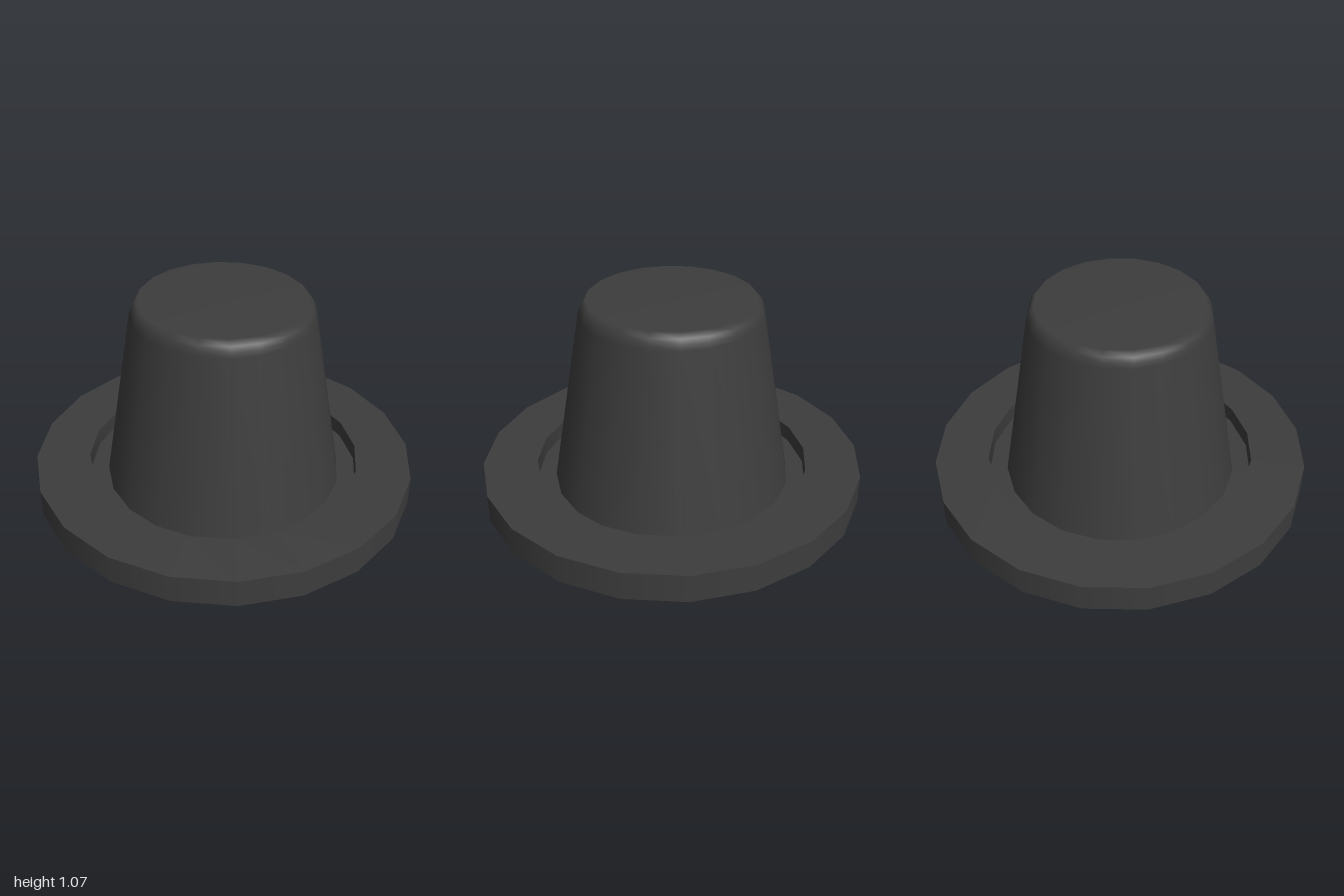
import * as THREE from 'three';

const SIDES = 20;
const DEPTH = 0.987; // the rings are slightly shallower than wide

export function createModel() {
  const model = new THREE.Group();
  model.name = 'plug';
  const rubber = new THREE.MeshStandardMaterial({ color: 0x3d3d3d });
  const thinRubber = new THREE.MeshStandardMaterial({ color: 0x3d3d3d, side: THREE.DoubleSide });

  // Revolves one smooth band; separate bands meet at sharp edges
  function band(parent, name, profile, material = rubber) {
    const points = profile.map(([r, y]) => new THREE.Vector2(r, y));
    const geometry = new THREE.LatheGeometry(points, SIDES).scale(1, 1, DEPTH);
    const mesh = new THREE.Mesh(geometry, material);
    mesh.name = name;
    parent.add(mesh);
  }

  // Flange: hollow underneath, with a thin outer wall
  const flange = new THREE.Group();
  flange.name = 'flange';
  band(flange, 'flangeOuterWall', [[1, 0], [1, 0.151]], thinRubber);
  band(flange, 'flangeTop', [[1, 0.151], [0.717, 0.151]], thinRubber);

  // Inner collar around the groove, and the thin web that joins it to the body
  band(flange, 'collarInnerWall', [[0.717, 0.151], [0.717, 0.065]], thinRubber);
  band(flange, 'collarUnderside', [[0.717, 0.065], [0.81, 0.065]], thinRubber);
  band(flange, 'collarOuterWall', [[0.81, 0.065], [0.81, 0.151]], thinRubber);
  band(flange, 'grooveFloor', [[0.717, 0.065], [0.622, 0.065]], thinRubber);

  // Tapered body with a rounded top edge and a closed base
  const body = new THREE.Group();
  body.name = 'body';
  band(body, 'taperedBody', [
    [0.622, 0.065], [0.463, 0.99], [0.456, 1.015], [0.445, 1.04], [0.422, 1.066], [0, 1.066],
  ]);
  band(body, 'bodyBase', [[0, 0.065], [0.622, 0.065]]);

  model.add(flange, body);
  return model;
}
